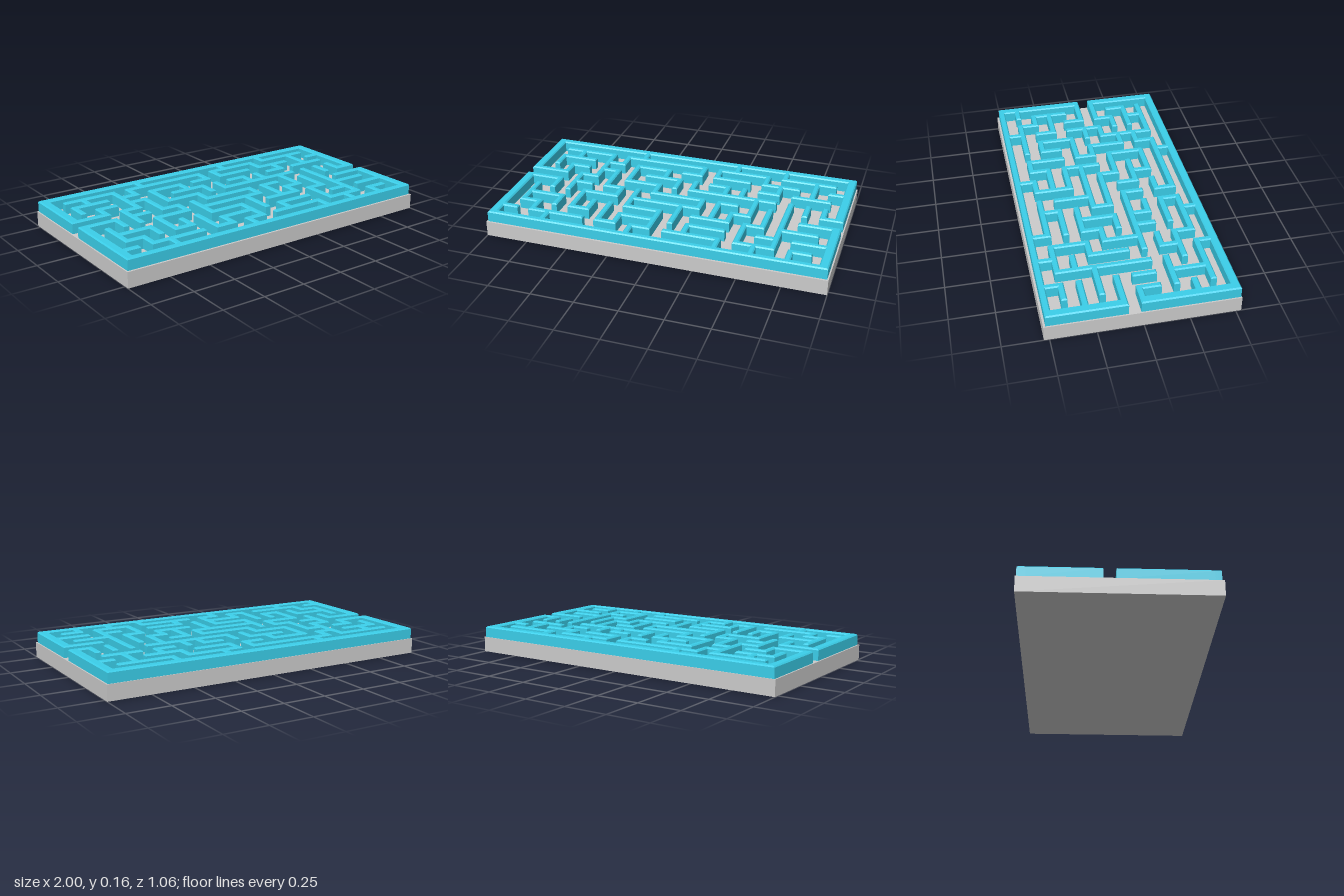
import * as THREE from 'three';
import { mergeGeometries } from 'three/addons/utils/BufferGeometryUtils.js';

const BASE_TOP = 0.09, WALL_TOP = 0.155, BEVEL = 0.007, HALF = 0.017;

// Wall centre lines: column i (0..19) and row j (0..10)
const colX = (i) => -0.97 + i * 0.1022;
const rowZ = (j) => -0.505 + j * 0.1005;

// Wall runs on rows 1..9, as "fromColumn-toColumn"
const rowRuns = [
  '1-4 5-10 11-14 15-18',
  '1-3 4-5 6-8 9-10 11-13 14-16 18-19',
  '2-3 4-5 7-9 11-12 14-15 16-18',
  '0-2 3-4 6-8 10-15',
  '0-2 3-4 5-6 8-11 12-13 18-19',
  '4-6 7-11 13-14 17-19',
  '1-3 7-9 11-13 14-15 16-18',
  '1-2 4-5 7-9 11-13 15-16 17-19',
  '0-1 2-5 6-7 8-9 10-13 14-16 17-18',
];

// Wall runs on columns 1..18, as "fromRow-toRow"
const columnRuns = [
  '2-3 6-8', '1-2 3-4 5-6 8-9', '4-6 7-8 9-10', '1-4 6-8', '1-2 3-5 7-8',
  '0-1 2-4 5-6 7-9', '5-7 8-9', '2-3 4-5 9-10', '3-4 7-9', '1-2 3-4 6-8',
  '1-2 5-6 8-9', '0-1 3-4 5-7', '3-4 6-7 9-10', '1-2 4-6 7-9',
  '0-1 2-3 5-7 9-10', '4-9', '1-3 4-5 9-10', '4-5',
];

// Bar with a chamfered top edge, spanning a rectangle of the floor
function bar(x0, x1, z0, z1) {
  const w = x1 - x0, d = z1 - z0, h = WALL_TOP - BASE_TOP;
  const geo = new THREE.BoxGeometry(w, h, d, 1, 2, 1);
  const p = geo.attributes.position;
  for (let k = 0; k < p.count; k++) {
    const y = p.getY(k);
    if (y > h / 4) {
      p.setX(k, Math.sign(p.getX(k)) * (w / 2 - BEVEL));
      p.setZ(k, Math.sign(p.getZ(k)) * (d / 2 - BEVEL));
    } else if (y > -h / 4) {
      p.setY(k, h / 2 - BEVEL);
    }
  }
  const flat = geo.toNonIndexed();
  flat.computeVertexNormals();
  return flat.translate((x0 + x1) / 2, BASE_TOP + h / 2, (z0 + z1) / 2);
}

const parseRuns = (text) => text.split(' ').map((run) => run.split('-').map(Number));

export function createModel() {
  const model = new THREE.Group();
  model.name = 'mazeBoard';

  // Base slab
  const base = new THREE.Mesh(
    new THREE.BoxGeometry(2, BASE_TOP, 1.06),
    new THREE.MeshStandardMaterial({ color: 0xcccccc }),
  );
  base.name = 'baseSlab';
  base.position.y = BASE_TOP / 2;
  model.add(base);

  const wallMaterial = new THREE.MeshStandardMaterial({ color: 0x3bcfea });
  const addWalls = (name, bars) => {
    const mesh = new THREE.Mesh(mergeGeometries(bars), wallMaterial);
    mesh.name = name;
    model.add(mesh);
  };

  // Thick border with an entrance on each short side
  addWalls('borderWall', [
    bar(-0.992, 0.992, -0.525, -0.478),
    bar(-0.992, 0.992, 0.482, 0.518),
    bar(-0.992, -0.94, -0.525, rowZ(4) + HALF),
    bar(-0.992, -0.94, rowZ(5) - HALF, 0.518),
    bar(0.94, 0.992, -0.525, rowZ(5) + HALF),
    bar(0.94, 0.992, rowZ(6) - HALF, 0.518),
  ]);

  // Inner walls running across and along the board
  addWalls('crosswiseWalls', rowRuns.flatMap((text, r) => parseRuns(text).map(([a, b]) =>
    bar(colX(a) - HALF, colX(b) + HALF, rowZ(r + 1) - HALF, rowZ(r + 1) + HALF))));
  addWalls('lengthwiseWalls', columnRuns.flatMap((text, c) => parseRuns(text).map(([a, b]) =>
    bar(colX(c + 1) - HALF, colX(c + 1) + HALF, rowZ(a) - HALF, rowZ(b) + HALF))));

  return model;
}
